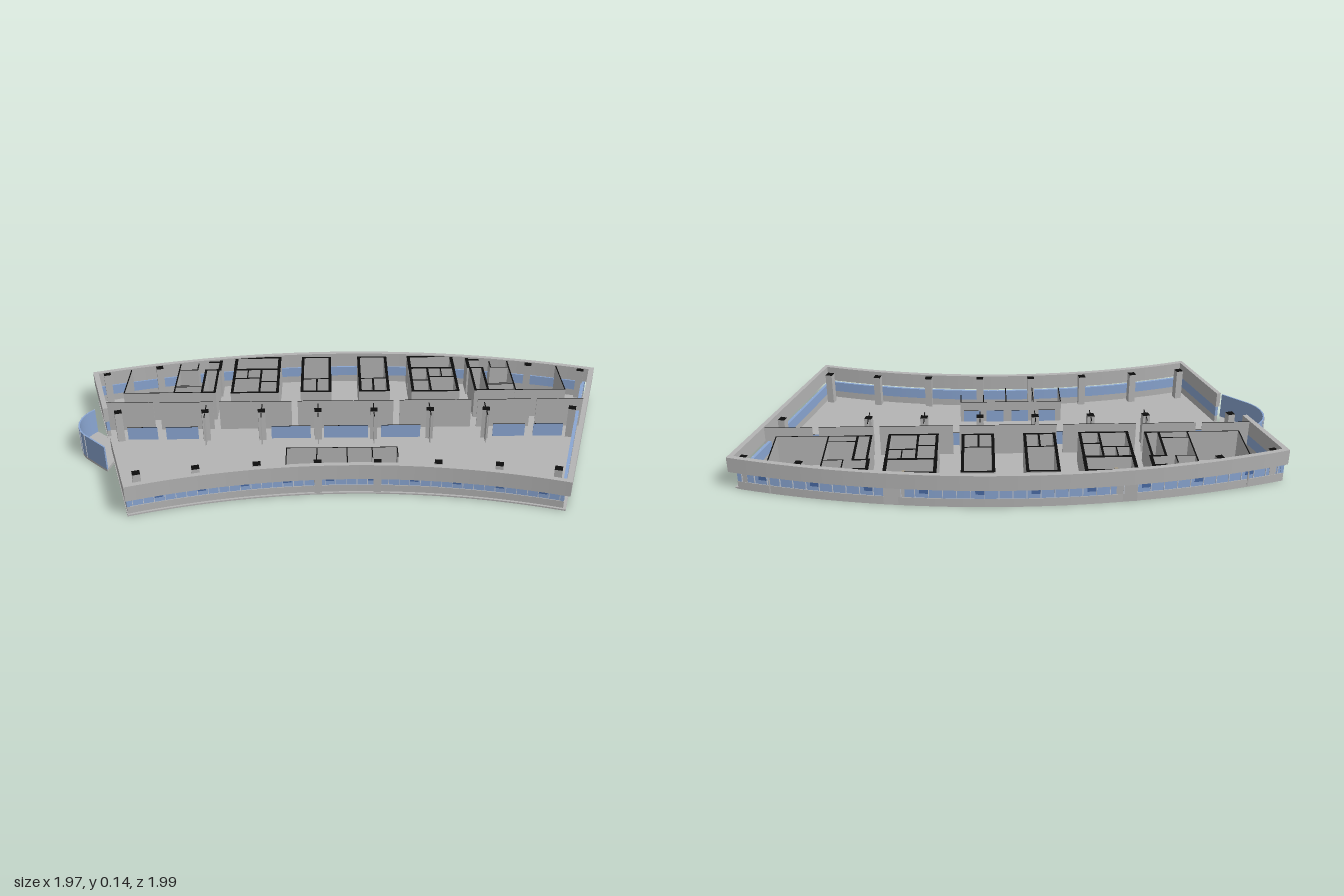
import * as THREE from 'three';

const mat = (color) => new THREE.MeshStandardMaterial({ color });
const M = {
  wall: mat(0xb4b4b4), floor: mat(0xb4b4b4), cap: mat(0x0c0c0c), glass: mat(0x8aa6d2),
  pane: mat(0x4a6ca6), frame: mat(0xc4cad4), stair: mat(0xa09888), tile: mat(0xc4c6c2), lilac: mat(0xc9c2d2),
};
const CV = 3.18;            // centre of the plan arcs on the local z axis
const RO = 3.65, RI = 2.74; // outer and inner radius
const HALF = 0.308;         // half of the sweep angle
const TOP = 0.145, SILL = 0.08;

export function createModel() {
  const model = new THREE.Group();
  const plan = new THREE.Group(); // local x runs along the building, local z across it
  plan.name = 'curvedFloorPlan';
  plan.rotation.y = 0.797;
  model.add(plan);

  const add = (parent, name, geometry, material) => {
    const mesh = new THREE.Mesh(geometry, material);
    mesh.name = name;
    parent.add(mesh);
    return mesh;
  };
  // Plan shapes use y = -z, then are stood up
  const raise = (shape, y0, y1, seg = 40) => {
    const g = new THREE.ExtrudeGeometry(shape, { depth: y1 - y0, bevelEnabled: false, curveSegments: seg });
    return g.rotateX(-Math.PI / 2).translate(0, y0, 0);
  };
  const sectorShape = (r0, r1, a0, a1) => {
    const s = new THREE.Shape(), q = Math.PI / 2;
    s.absarc(0, -CV, r1, q - a1, q - a0, false);
    s.absarc(0, -CV, r0, q - a0, q - a1, true);
    s.closePath();
    return s;
  };
  const sector = (name, r0, r1, a0, a1, y0, y1, material) =>
    add(plan, name, raise(sectorShape(r0, r1, a0, a1), y0, y1, a1 - a0 > 0.1 ? 40 : 2), material);
  // Upright box with a dark top
  const block = (name, x, z, w, d, y0, y1, body = M.wall, top = M.cap) => {
    const m = add(plan, name, new THREE.BoxGeometry(w, y1 - y0, d), [body, body, top, body, body, body]);
    m.position.set(x, (y0 + y1) / 2, z);
    return m;
  };
  const wall = (name, x0, z0, x1, z1, t = 0.012, h = TOP - 0.005, body = M.wall) =>
    block(name, (x0 + x1) / 2, (z0 + z1) / 2, Math.abs(x1 - x0) + t, Math.abs(z1 - z0) + t, 0.003, h, body);
  const room = (name, x0, z0, x1, z1, t) => {
    wall(name, x0, z0, x1, z0, t);
    wall(name, x0, z1, x1, z1, t);
    wall(name, x0, z0, x0, z1, t);
    wall(name, x1, z0, x1, z1, t);
  };

  // Floor slab with open shafts, mirrored about the middle
  const shafts = [
    [0.075, -0.41, 0.175, -0.24], [0.075, -0.19, 0.115, -0.135], [0.13, -0.225, 0.175, -0.135],
    [0.30, -0.31, 0.36, -0.22], [0.375, -0.31, 0.475, -0.25], [0.375, -0.235, 0.475, -0.13],
    [0.30, -0.205, 0.36, -0.13], [0.625, -0.165, 0.72, -0.13],
  ];
  const slab = sectorShape(RI + 0.015, RO - 0.015, -HALF + 0.001, HALF - 0.004);
  for (const s of [-1, 1]) for (const [x0, z0, x1, z1] of shafts) {
    slab.holes.push(new THREE.Path([[x0, z0], [x1, z0], [x1, z1], [x0, z1]]
      .map(([x, z]) => new THREE.Vector2(s * x, -z))));
  }
  add(plan, 'floorSlab', raise(slab, 0, 0.006), M.floor);

  // Facade: low wall, glass band and overhanging parapet
  const door0 = 3.107, door1 = 3.325; // entrance gap in the left end
  const layers = [
    ['lowWall', 0, 0.036, 0, M.wall],
    ['glassBand', 0.036, SILL, 0.003, M.glass],
  ];
  for (const [name, y0, y1, n, m] of layers) {
    sector(name, RO - 0.026, RO - 0.012 - n, -HALF + 0.002, HALF - 0.008, y0, y1, m);
    sector(name, RI + 0.024 + n, RI + 0.038, -HALF + 0.002, HALF - 0.008, y0, y1, m);
    sector(name, RI + 0.024, RO - 0.013, HALF - 0.013, HALF - 0.009, y0, y1, m);
    sector(name, RI + 0.024, door0, -HALF + 0.002, -HALF + 0.006, y0, y1, m);
    sector(name, door1, RO - 0.013, -HALF + 0.002, -HALF + 0.006, y0, y1, m);
  }
  sector('parapet', RO - 0.02, RO, -HALF, HALF, SILL, TOP, M.wall);
  sector('parapet', RI, RI + 0.02, -HALF, HALF, SILL, TOP, M.wall);
  sector('parapet', RI, RO, HALF - 0.006, HALF, SILL, TOP, M.wall);
  sector('parapet', RI, door0, -HALF, -HALF + 0.006, SILL, TOP, M.wall);
  sector('parapet', door1, RO, -HALF, -HALF + 0.006, SILL, TOP, M.wall);

  // Mullions and dark opening lights along the glass
  for (let i = 0; i <= 40; i++) {
    const a = -0.298 + i * 0.0148;
    sector('mullion', RO - 0.02, RO - 0.011, a - 0.0004, a + 0.0004, 0.036, SILL, M.frame);
    sector('mullion', RI + 0.023, RI + 0.032, a - 0.0005, a + 0.0005, 0.036, SILL, M.frame);
    if (i % 4 === 2) {
      sector('openingLight', RO - 0.02, RO - 0.0135, a, a + 0.01, 0.055, 0.075, M.pane);
      sector('openingLight', RI + 0.0255, RI + 0.032, a, a + 0.012, 0.055, 0.075, M.pane);
    }
  }
  for (let i = 1; i < 14; i++) {
    const r = RI + 0.025 + i * 0.062;
    sector('endMullion', r, r + 0.003, HALF - 0.01, HALF - 0.0085, 0.036, SILL, M.frame);
    if (r < door0 || r > door1)
      sector('endMullion', r, r + 0.003, -HALF + 0.0015, -HALF + 0.003, 0.036, SILL, M.frame);
  }

  // Columns, turned to follow the radius
  const columns = [
    [0.116, 0.032], [0.35, 0.032], [0.583, 0.032], [0.942, 0.032],
    [0.115, 0.41], [0.348, 0.418], [0.58, 0.438], [0.80, 0.47], [0.82, -0.34], [1.043, -0.288],
  ];
  for (const s of [-1, 1]) for (const [x, z] of columns) {
    block('column', s * x, z, 0.03, 0.03, 0, TOP - 0.003).rotation.y = -Math.atan2(s * x, CV - z);
  }

  // Service core, mirrored
  for (const s of [-1, 1]) {
    const X = (v) => s * v;
    // lift and riser room
    room('liftShaft', X(0.065), -0.425, X(0.185), -0.125, 0.012);
    wall('liftDivider', X(0.065), -0.232, X(0.185), -0.232, 0.008);
    wall('liftDivider', X(0.122), -0.232, X(0.122), -0.125, 0.008);
    // stair room with rising steps
    room('stairRoom', X(0.29), -0.425, X(0.483), -0.32, 0.014);
    block('stairFloor', X(0.387), -0.372, 0.18, 0.095, 0.005, 0.012, M.stair, M.stair);
    for (let i = 0; i < 8; i++) {
      block('stairStep', X(0.325 + i * 0.013), -0.35, 0.013, 0.035, 0.01, 0.022 + i * 0.011, M.stair, M.stair);
    }
    wall('stairSpine', X(0.32), -0.372, X(0.44), -0.372, 0.004, 0.11);
    // riser block
    room('riserBlock', X(0.29), -0.32, X(0.483), -0.12, 0.012);
    wall('riserDivider', X(0.367), -0.32, X(0.367), -0.12, 0.009);
    wall('riserDivider', X(0.367), -0.242, X(0.483), -0.242, 0.009);
    wall('riserDivider', X(0.29), -0.213, X(0.367), -0.213, 0.009);
    wall('riserDivider', X(0.425), -0.32, X(0.425), -0.242, 0.005);
    // washrooms
    block('lilacFloor', X(0.585), -0.225, 0.05, 0.185, 0.005, 0.009, M.lilac, M.lilac);
    block('tiledFloor', X(0.67), -0.27, 0.11, 0.19, 0.005, 0.009, M.tile, M.tile);
    room('washroom', X(0.558), -0.32, X(0.612), -0.125, 0.01);
    wall('washroomWall', X(0.552), -0.40, X(0.552), -0.32, 0.014);
    wall('washroomWall', X(0.552), -0.39, X(0.60), -0.39, 0.012);
    wall('washroomWall', X(0.73), -0.375, X(0.73), -0.125, 0.006);
    wall('washroomWall', X(0.612), -0.172, X(0.73), -0.172, 0.006);
    wall('washroomWall', X(0.612), -0.125, X(0.73), -0.125, 0.006);
    wall('washroomWall', X(0.65), -0.375, X(0.65), -0.32, 0.005);
    wall('washroomWall', X(0.65), -0.32, X(0.73), -0.32, 0.005);
    for (let i = 0; i < 3; i++) {
      wall('cubiclePartition', X(0.69), -0.29 + i * 0.035, X(0.728), -0.29 + i * 0.035, 0.003, 0.08);
    }
    // end rooms
    wall('endRoomWall', X(0.942), -0.335, X(0.942), -0.123, 0.005);
    wall('endRoomWall', X(0.73), -0.123, X(0.942), -0.123, 0.005);
    // corridor wall in bays with door gaps
    for (const [a, b] of [[0.0, 0.2], [0.23, 0.53], [0.56, 0.78], [0.81, 1.01]]) {
      wall('corridorWall', X(a), -0.045, X(b), -0.045, 0.004);
    }
    // glazed fronts and fins along the column line
    for (const [a, b] of [[0.0, 0.09], [0.15, 0.31], [0.62, 0.75], [0.79, 0.91]]) {
      wall('glazedFront', X(a), 0.032, X(b), 0.032, 0.004, 0.065, M.glass);
    }
    for (const x of [0.116, 0.35, 0.583]) wall('partitionFin', X(x), -0.02, X(x), 0.08, 0.004);
  }

  // Meeting rooms near the inner facade
  wall('meetingRoomWall', -0.24, 0.25, 0.2, 0.25, 0.004, 0.1);
  for (const x of [-0.24, -0.12, 0, 0.1, 0.2]) wall('meetingRoomDivider', x, 0.25, x, x > 0.05 ? 0.32 : 0.39, 0.004, 0.1);
  for (const x of [-0.18, -0.06, 0.05, 0.15]) wall('meetingRoomGlass', x - 0.035, 0.247, x + 0.035, 0.247, 0.004, 0.06, M.glass);

  // Rounded glass entrance bay on the left end
  const bay = new THREE.Group();
  bay.name = 'entranceBay';
  model.add(bay);
  const cx = -0.615, cy = -0.735, PI = Math.PI;
  const skin = new THREE.Shape();
  skin.absarc(cx, cy, 0.14, PI, 1.5 * PI, false);
  skin.lineTo(-0.485, -0.87);
  skin.lineTo(-0.485, -0.864);
  skin.lineTo(cx, -0.869);
  skin.absarc(cx, cy, 0.134, 1.5 * PI, PI, true);
  add(bay, 'bayGlass', raise(skin, 0.012, 0.12, 16), M.glass);
  const base = new THREE.Shape();
  base.absarc(cx, cy, 0.139, PI, 1.5 * PI, false);
  base.lineTo(-0.487, -0.868);
  base.lineTo(-0.52, -0.81);
  base.lineTo(-0.69, -0.73);
  add(bay, 'bayFloor', raise(base, 0, 0.012, 16), M.floor);
  for (let i = 0; i <= 6; i++) {
    const a = PI + (i / 6) * PI / 2;
    const post = add(bay, 'bayMullion', new THREE.BoxGeometry(0.004, 0.108, 0.004), M.frame);
    post.position.set(cx + 0.14 * Math.cos(a), 0.066, -(cy + 0.14 * Math.sin(a)));
    post.rotation.y = a;
  }
  return model;
}
